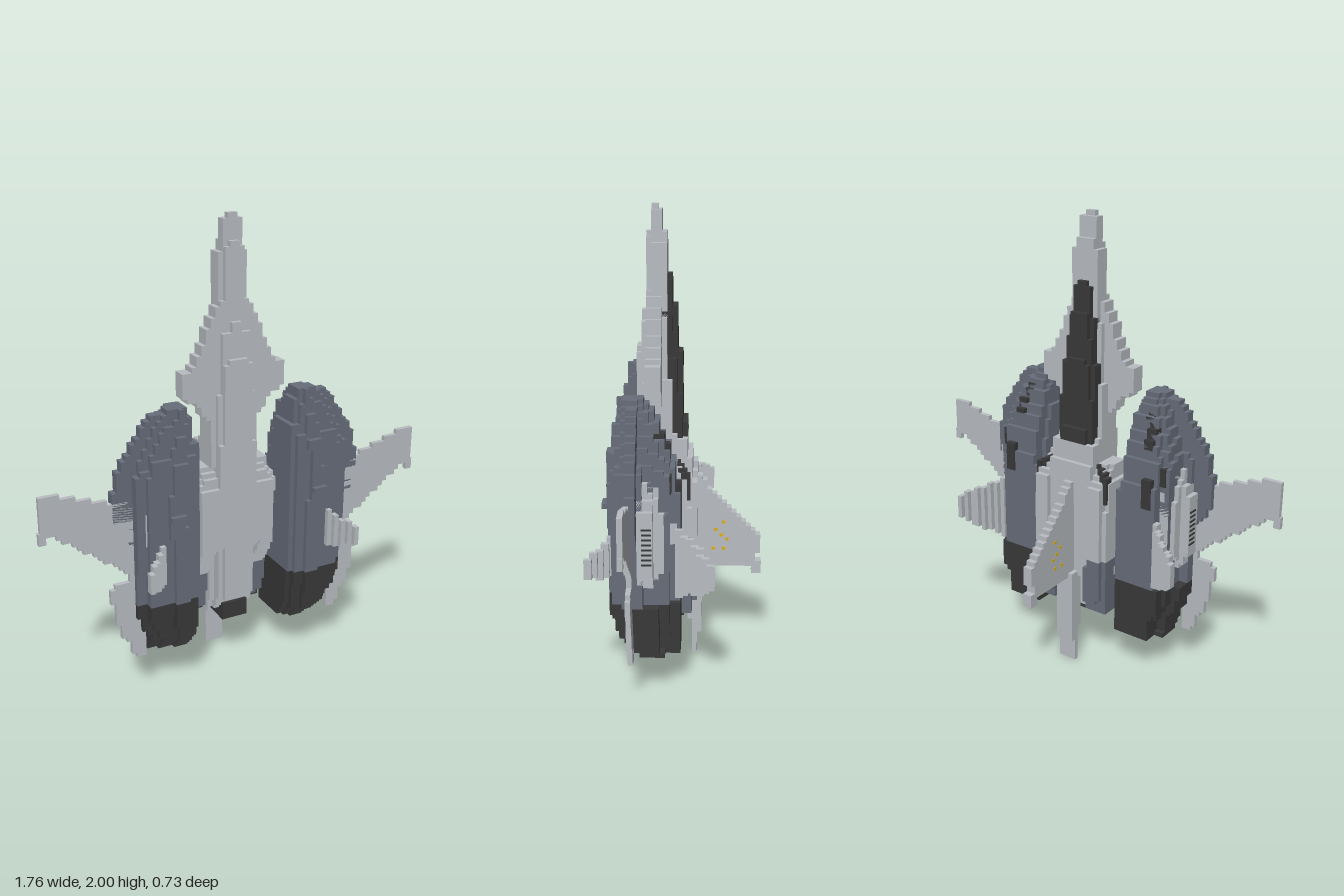
import * as THREE from 'three';
import { mergeGeometries } from 'three/addons/utils/BufferGeometryUtils.js';

const U = 2 / 94; // cell size of the stepped grid
const snap = (v) => Math.round(v / U) * U;

function material(name, color) {
  const m = new THREE.MeshStandardMaterial({ color });
  m.name = name;
  return m;
}

function box(x0, x1, y0, y1, z0, z1) {
  const g = new THREE.BoxGeometry(x1 - x0, y1 - y0, z1 - z0);
  return g.translate((x0 + x1) / 2, (y0 + y1) / 2, (z0 + z1) / 2);
}

// Interpolate [y, x0, x1, z0, z1] keys at height y
function sample(keys, y) {
  let i = 0;
  while (i < keys.length - 2 && y > keys[i + 1][0]) i++;
  const a = keys[i], b = keys[i + 1];
  const t = THREE.MathUtils.clamp((y - a[0]) / (b[0] - a[0]), 0, 1);
  return a.map((v, k) => v + (b[k] - v) * t);
}

const FULL = [[0, 1, 0, 1]];

// Stack stepped layers; each layer is a set of rectangles given as fractions of the section
function stack(keys, shape = FULL, lo = keys[0][0], hi = keys[keys.length - 1][0]) {
  const parts = [];
  for (const [f0, f1, g0, g1] of shape) {
    let run = null;
    const flush = () => run && parts.push(box(run.r[0], run.r[1], run.y0, run.y1, run.r[2], run.r[3]));
    for (let j = Math.round(lo / U); j < Math.round(hi / U); j++) {
      const [, x0, x1, z0, z1] = sample(keys, (j + 0.5) * U);
      const r = [x0 + (x1 - x0) * f0, x0 + (x1 - x0) * f1, z0 + (z1 - z0) * g0, z0 + (z1 - z0) * g1].map(snap);
      if (r[1] - r[0] < U / 2) r[1] = r[0] + U;
      if (r[3] - r[2] < U / 2) r[3] = r[2] + U;
      if (run && run.r.every((v, k) => Math.abs(v - r[k]) < 1e-6)) run.y1 = (j + 1) * U;
      else {
        flush();
        run = { r, y0: j * U, y1: (j + 1) * U };
      }
    }
    flush();
  }
  return mergeGeometries(parts);
}

// Canted fin: a diagonal staircase of columns from root to tip, each end [x, z, yLow, yHigh]
function cantedFin(root, tip) {
  const n = Math.round(Math.abs(tip[0] - root[0]) / U);
  const cols = [];
  for (let i = 0; i <= n; i++) {
    const [x, z, lo, hi] = root.map((v, k) => snap(v + (tip[k] - v) * (i / n)));
    cols.push(box(x, x + U, lo, hi, z - U / 2, z + U));
  }
  return mergeGeometries(cols);
}

export function createModel() {
  const light = material('light grey hull', 0xb9bdc2);
  const slate = material('slate armour', 0x676d7a);
  const dark = material('charcoal', 0x393939);
  const blue = material('engine blue', 0x2f8cff);
  const gold = material('gold marking', 0xe0b010);
  const model = new THREE.Group();
  model.name = 'spacecraft';

  const add = (name, geo, mat, parent = model) => {
    const m = new THREE.Mesh(geo, mat);
    m.name = name;
    parent.add(m);
  };

  // Central hull and nose
  add('fuselage', stack([
    [0.27, -0.1, 0.1, -0.04, 0.1], [0.35, -0.1, 0.1, -0.05, 0.15], [0.6, -0.13, 0.13, -0.06, 0.16],
    [0.85, -0.13, 0.13, -0.06, 0.16], [0.95, -0.1, 0.1, -0.055, 0.16], [1.04, -0.1, 0.1, -0.04, 0.16],
    [1.06, -0.1, 0.1, 0.02, 0.16], [1.25, -0.1, 0.1, 0.03, 0.15], [1.5, -0.08, 0.08, 0.04, 0.14],
    [1.7, -0.06, 0.06, 0.04, 0.13], [1.86, -0.055, 0.055, 0.045, 0.12], [1.87, -0.04, 0.04, 0.05, 0.12],
    [1.97, -0.04, 0.04, 0.06, 0.11]], [[0, 1, 0, 0.8], [0.12, 0.88, 0, 1]]), light);
  add('noseTip', box(-U, U, 1.95, 2, 0.08, 0.106), light);
  add('keel', stack([[0.34, -0.064, 0.064, 0.08, 0.17], [0.9, -0.064, 0.064, 0.08, 0.18],
    [1.4, -0.064, 0.064, 0.08, 0.165], [1.42, -0.03, 0.03, 0.08, 0.16], [1.57, -0.02, 0.02, 0.08, 0.15]]), light);
  add('noseFlare', stack([[1.15, -0.11, 0.11, 0.06, 0.12], [1.24, -0.17, 0.17, 0.06, 0.12],
    [1.28, -0.24, 0.24, 0.06, 0.12], [1.37, -0.24, 0.24, 0.06, 0.12], [1.39, -0.19, 0.19, 0.06, 0.12],
    [1.46, -0.155, 0.155, 0.06, 0.12], [1.67, -0.06, 0.06, 0.06, 0.12]]), light);
  add('canopy', stack([[1.04, -0.085, 0.085, -0.035, 0.05], [1.25, -0.085, 0.085, -0.025, 0.05],
    [1.5, -0.065, 0.065, 0, 0.055], [1.72, -0.03, 0.03, 0.025, 0.055]],
  [[0, 1, 0.2, 1], [0.14, 0.86, 0, 1]]), dark);

  // Tail fin, spine and tail spike
  add('tailFin', stack([[0.43, -U, U, -0.34, -0.05], [0.55, -U, U, -0.367, -0.05],
    [0.72, -U, U, -0.21, -0.05], [0.88, -U, U, -0.06, -0.02]]), light);
  add('tailFinTip', box(-U, U, 0.39, 0.45, -0.367, -0.325), light);
  add('tailSpike', stack([[0, -0.04, 0.04, -0.075, -0.055], [0.1, -0.04, 0.04, -0.08, -0.055],
    [0.11, -0.04, 0.04, -0.105, -0.055], [0.26, -0.04, 0.04, -0.105, -0.05],
    [0.45, -0.045, 0.045, -0.105, 0]]), light);
  for (const [z, y] of [[-0.2, 0.635], [-0.165, 0.6], [-0.19, 0.575], [-0.215, 0.555], [-0.155, 0.51], [-0.2, 0.51]])
    add('finMark', box(-U - 0.003, U + 0.003, y - 0.007, y + 0.007, z - 0.007, z + 0.007), gold);

  // Central engine
  add('centreNozzle', box(-0.06, 0.06, 0.23, 0.31, 0.0, 0.14), dark);
  add('centreGlow', box(-0.025, 0.025, 0.227, 0.23, 0.045, 0.095), blue);

  const pod = [
    [0.19, 0.205, 0.42, -0.01, 0.18], [0.24, 0.205, 0.42, -0.02, 0.235], [0.3, 0.205, 0.43, -0.02, 0.26],
    [0.32, 0.205, 0.47, -0.02, 0.265], [0.45, 0.205, 0.49, -0.02, 0.27], [0.85, 0.205, 0.5, -0.02, 0.288],
    [1.0, 0.21, 0.49, 0, 0.275], [1.1, 0.22, 0.45, 0.04, 0.26], [1.2, 0.235, 0.4, 0.08, 0.24],
    [1.28, 0.255, 0.335, 0.13, 0.22]];
  const podShape = [[0, 0.72, 0.2, 0.78], [0.06, 0.7, 0, 0.78], [0, 1, 0.48, 0.82],
    [0, 0.85, 0.3, 0.85], [0.1, 0.82, 0.12, 0.92], [0.28, 0.5, 0.1, 1]];
  const engineShape = [[0, 1, 0.3, 0.82], [0, 0.8, 0, 0.82], [0.1, 0.85, 0.12, 0.92], [0.28, 0.5, 0.1, 1]];
  const nacelle = [
    [0.27, 0.085, 0.18, -0.07, 0.06], [0.45, 0.085, 0.19, -0.09, 0.09], [0.58, 0.085, 0.2, -0.09, 0.16],
    [0.86, 0.085, 0.2, -0.08, 0.17], [0.96, 0.085, 0.155, 0.01, 0.1]];
  const nacelleShape = [[0, 1, 0.12, 0.88], [0.1, 0.75, 0, 1]];
  const nacelleRear = [[0, 1, 0.12, 0.5], [0.1, 0.75, 0, 0.5]];
  const nacelleFront = [[0, 1, 0.5, 0.88], [0.1, 0.75, 0.5, 1]];

  function buildSide() {
    const side = new THREE.Group();
    const part = (name, geo, mat) => add(name, geo, mat, side);
    // Engine pod
    part('podArmour', stack(pod, podShape, 0.45, 1.27), slate);
    part('podEngine', stack(pod, engineShape, 0.19, 0.45), dark);
    part('podVent', stack(pod, [[0.42, 0.62, -0.03, 0.3]], 1.06, 1.22), dark);
    part('podSlot', box(0.34, 0.385, 0.82, 0.95, -0.026, 0.02), dark);
    part('podOuterSlot', box(0.385, 0.43, 0.92, 1.0, 0.015, 0.06), dark);
    part('podStrake', stack([[0.64, 0.4, 0.49, 0.14, 0.2], [0.73, 0.4, 0.5, 0.14, 0.2],
      [0.76, 0.4, 0.55, 0.14, 0.2], [0.84, 0.4, 0.575, 0.14, 0.2], [1, 0.4, 0.56, 0.14, 0.2],
      [1.1, 0.38, 0.51, 0.14, 0.2], [1.2, 0.3, 0.44, 0.14, 0.2], [1.25, 0.28, 0.39, 0.15, 0.2]]), slate);
    // Nozzle glow
    part('nozzleGlow', box(0.27, 0.35, 0.188, 0.192, 0.065, 0.135), blue);
    // Outer capsule with grille
    part('sideCapsule', stack([[0.53, 0.38, 0.45, 0.04, 0.14], [0.6, 0.38, 0.51, 0.015, 0.14],
      [0.84, 0.38, 0.51, 0.015, 0.14], [0.97, 0.38, 0.46, 0.05, 0.14]],
    [[0, 0.45, 0, 1], [0, 0.75, 0.3, 1], [0, 1, 0.55, 1]]), light);
    for (let i = 0; i < 8; i++)
      part('grilleBar', box(0.49, 0.515, 0.65 + i * U, 0.657 + i * U, 0.09, 0.13), dark);
    // Wing and lower blade
    part('wing', stack([[0.58, 0.44, 0.5, 0.16, 0.181], [0.65, 0.44, 0.58, 0.16, 0.181],
      [0.83, 0.46, 0.82, 0.16, 0.181], [0.84, 0.46, 0.88, 0.16, 0.181], [0.9, 0.5, 0.88, 0.16, 0.181],
      [0.95, 0.68, 0.88, 0.16, 0.181], [1.0, 0.82, 0.88, 0.16, 0.181]]), light);
    part('wingTip', box(0.85, 0.88, 0.8, 0.85, snap(0.16), snap(0.181)), light);
    part('lowerBlade', stack([[0.19, 0.45, 0.49, 0.16, 0.181], [0.25, 0.45, 0.51, 0.16, 0.181],
      [0.33, 0.45, 0.555, 0.16, 0.181], [0.46, 0.46, 0.585, 0.16, 0.181], [0.53, 0.46, 0.6, 0.16, 0.181],
      [0.57, 0.44, 0.5, 0.16, 0.181]]), light);
    // Canted fins
    part('rearFin', cantedFin([0.38, -0.01, 0.46, 0.78], [0.55, -0.15, 0.57, 0.68]), light);
    part('frontFin', cantedFin([0.38, 0.25, 0.55, 0.72], [0.47, 0.345, 0.57, 0.66]), light);
    part('frontFinPlate', box(0.444, 0.453, 0.72, 0.86, 0.2, 0.235), light);
    // Inner nacelle, its lower cowl reaching higher at the rear
    part('nacelleUpper', stack(nacelle, nacelleShape, 0.53, 0.96), light);
    part('nacelleFront', stack(nacelle, nacelleFront, 0.45, 0.53), light);
    part('nacelleRear', stack(nacelle, nacelleRear, 0.45, 0.53), slate);
    part('nacelleLower', stack(nacelle, nacelleShape, 0.27, 0.45), slate);
    part('nacelleNozzle', box(0.11, 0.17, 0.255, 0.29, -0.03, 0.04), dark);
    part('nacelleGlow', box(0.125, 0.155, 0.252, 0.255, -0.01, 0.02), blue);
    // Slanted intake behind the nacelle lip
    for (let i = 0; i < 4; i++)
      part('intake', box(0.1 + i * U, 0.1 + (i + 1) * U, 0.8, 0.955 - i * 0.012, -0.015 - i * 0.014, 0.025 - i * 0.014), dark);
    return side;
  }

  const left = buildSide();
  left.name = 'leftSide';
  const right = buildSide();
  right.name = 'rightSide';
  right.scale.x = -1;
  model.add(left, right);
  return model;
}
